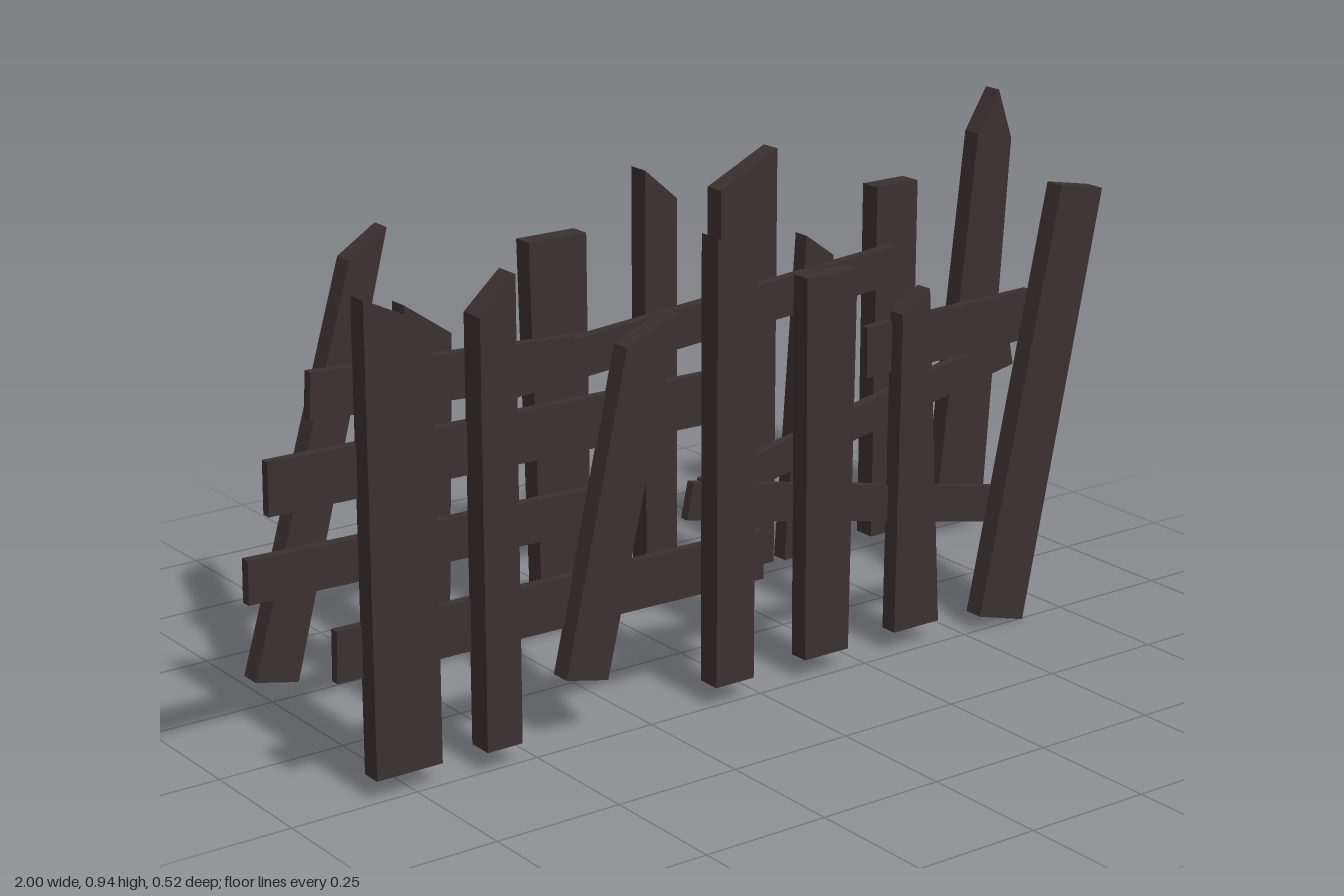
import * as THREE from 'three';

const wood = new THREE.MeshStandardMaterial({ color: 0x3a3031 });
wood.name = 'dark wood';

// Board cut from an outline in the xy plane, reaching from z0 to z1; slope shifts z along x
function board(name, outline, z0, z1, slope = 0) {
  const shape = new THREE.Shape(outline.map(([x, y]) => new THREE.Vector2(x, y)));
  const geometry = new THREE.ExtrudeGeometry(shape, { depth: z1 - z0, bevelEnabled: false });
  const p = geometry.attributes.position;
  for (let i = 0; i < p.count; i++) p.setZ(i, p.getZ(i) + z0 + slope * p.getX(i));
  geometry.computeVertexNormals();
  const mesh = new THREE.Mesh(geometry, wood);
  mesh.name = name;
  return mesh;
}

// Rail running between two end centres, with square-cut ends
function rail(name, x0, y0, x1, y1, width, z0, z1, slope) {
  const length = Math.hypot(x1 - x0, y1 - y0);
  const nx = -(y1 - y0) / length * width / 2;
  const ny = (x1 - x0) / length * width / 2;
  return board(name, [
    [x0 - nx, y0 - ny], [x1 - nx, y1 - ny], [x1 + nx, y1 + ny], [x0 + nx, y0 + ny],
  ], z0, z1, slope);
}

// Picket outlines: bottom left, bottom right, then the cut top from right to left; z range last
const frontPickets = [
  [[[-0.83, 0.04], [-0.697, 0.04], [-0.697, 0.83], [-0.83, 0.895]], 0.21, 0.25],
  [[[-0.61, 0.04], [-0.537, 0.04], [-0.537, 0.895], [-0.61, 0.83]], 0.21, 0.26],
  [[[-0.435, 0.13], [-0.345, 0.11], [-0.19, 0.765], [-0.3, 0.72]], 0.21, 0.25],
  [[[-0.11, 0.04], [-0.024, 0.04], [-0.024, 0.825], [-0.11, 0.89]], 0.212, 0.26],
  [[[0.105, 0.04], [0.208, 0.04], [0.216, 0.78], [0.1, 0.78]], 0.21, 0.25],
  [[[0.33, 0.04], [0.44, 0.04], [0.4, 0.71], [0.335, 0.67]], 0.205, 0.24],
  [[[0.535, 0.03], [0.645, 0], [0.815, 0.845], [0.71, 0.865]], 0.215, 0.255],
];
const backPickets = [
  [[[-0.8, 0.06], [-0.71, 0.04], [-0.495, 0.87], [-0.575, 0.82]], -0.262, -0.22],
  [[[-0.49, 0.04], [-0.385, 0.04], [-0.366, 0.65], [-0.467, 0.72]], -0.255, -0.213],
  [[[-0.175, 0.04], [-0.06, 0.04], [-0.065, 0.795], [-0.195, 0.795]], -0.252, -0.21],
  [[[0.072, 0.04], [0.147, 0.04], [0.147, 0.83], [0.072, 0.895]], -0.255, -0.21],
  [[[0.25, 0.04], [0.387, 0.04], [0.387, 0.895], [0.25, 0.83]], -0.25, -0.207],
  [[[0.41, 0.04], [0.526, 0.04], [0.526, 0.66], [0.457, 0.71]], -0.235, -0.2],
  [[[0.64, 0.04], [0.745, 0.04], [0.745, 0.78], [0.64, 0.78]], -0.25, -0.205],
  [[[0.81, 0.05], [0.937, 0.035], [0.99, 0.835], [0.953, 0.94], [0.9, 0.855]], -0.24, -0.2],
];

// Rails: start x, y, end x, y, width
const frontRails = [
  [-1, 0.593, -0.05, 0.58, 0.095],
  [0.275, 0.6, 0.68, 0.607, 0.098],
  [-0.88, 0.268, 0.035, 0.255, 0.095],
  [-0.135, 0.393, 0.707, 0.213, 0.07],
];
const backRails = [
  [-0.68, 0.59, -0.11, 0.56, 0.09],
  [-0.28, 0.545, 0.67, 0.62, 0.08],
  [-0.82, 0.265, 0, 0.25, 0.085],
  [0.2, 0.225, 0.988, 0.388, 0.067],
];

function fenceRow(name, pickets, rails, z0, z1, slope) {
  const row = new THREE.Group();
  row.name = name;
  pickets.forEach(([outline, a, b], i) => row.add(board(`${name}Picket${i + 1}`, outline, a, b)));
  rails.forEach((r, i) => row.add(rail(`${name}Rail${i + 1}`, ...r, z0, z1, slope)));
  return row;
}

export function createModel() {
  const fence = new THREE.Group();
  fence.name = 'brokenPicketFence';
  fence.add(
    fenceRow('frontFence', frontPickets, frontRails, 0.194, 0.212, -0.003),
    fenceRow('backFence', backPickets, backRails, -0.209, -0.188, 0.009),
  );
  return fence;
}
